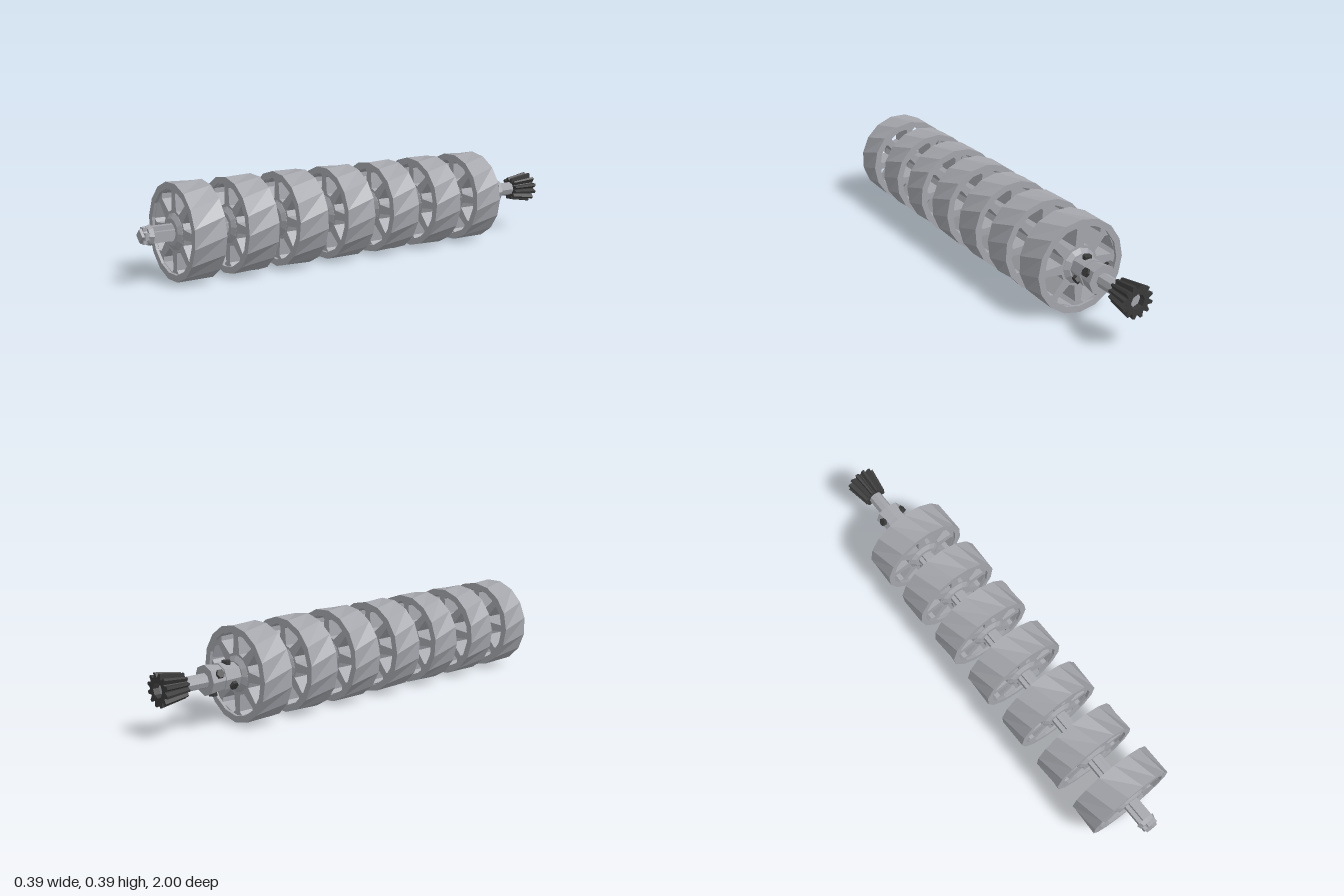
import * as THREE from 'three';

const CY = 0.197; // axle height

export function createModel() {
  const grey = new THREE.MeshStandardMaterial({ color: 0xa3a5ab });
  const black = new THREE.MeshStandardMaterial({ color: 0x3a3a3b });
  grey.name = 'light grey';
  black.name = 'dark grey';
  grey.flatShading = black.flatShading = true;

  const model = new THREE.Group();
  model.name = 'rollerShaft';
  const add = (parent, name, geometry, material, x = 0, y = 0, z = 0) => {
    const mesh = new THREE.Mesh(geometry, material);
    mesh.name = name;
    mesh.position.set(x, y, z);
    parent.add(mesh);
    return mesh;
  };
  // Cylinder along z; r1 is the radius at the +z end
  const rod = (r1, r2, length, sides) =>
    new THREE.CylinderGeometry(r1, r2, length, sides).rotateX(Math.PI / 2);
  // Extrusion centred on z = 0
  const slab = (shape, depth) =>
    new THREE.ExtrudeGeometry(shape, { depth, bevelEnabled: false, curveSegments: 4 })
      .translate(0, 0, -depth / 2);
  const polygon = (pts) => pts.map(([x, y]) => new THREE.Vector2(x, y));

  const axis = new THREE.Group();
  axis.name = 'axis';
  axis.position.y = CY;
  model.add(axis);

  // Faceted rim: the front edge is turned half a step against the back edge
  const SIDES = 16, W = 0.067, RO = 0.194, RI = 0.167;
  const rimProfile = polygon([[RI, -W], [RO, -W], [RO, W], [RI, W], [RI, -W]]);
  const rimGeo = new THREE.LatheGeometry(rimProfile, SIDES);
  const p = rimGeo.attributes.position;
  for (let i = 0; i < p.count; i++) {
    const a = p.getY(i) > 0 ? Math.PI / SIDES : 0;
    const x = p.getX(i), z = p.getZ(i);
    p.setX(i, x * Math.cos(a) - z * Math.sin(a));
    p.setZ(i, x * Math.sin(a) + z * Math.cos(a));
  }
  rimGeo.rotateX(Math.PI / 2);
  rimGeo.computeVertexNormals();

  // Eight-spoked disc with tapered windows
  const disc = new THREE.Shape().absarc(0, 0, 0.174, 0, Math.PI * 2);
  for (let i = 0; i < 8; i++) {
    const mid = (i + 0.5) * Math.PI / 4;
    const corner = (r, half) => [r * Math.cos(mid + half), r * Math.sin(mid + half)];
    disc.holes.push(new THREE.Path(polygon([
      corner(0.083, -0.15), corner(0.15, -0.3), corner(0.166, -0.22),
      corner(0.166, 0.22), corner(0.15, 0.3), corner(0.083, 0.15),
    ])));
  }
  const discGeo = new THREE.ExtrudeGeometry(disc, { depth: 0.11, bevelEnabled: false, curveSegments: 16 })
    .translate(0, 0, -0.055);

  // Hub with an open socket at each end
  const hubGeo = new THREE.LatheGeometry(polygon([
    [0.036, -0.05], [0.036, -0.068], [0.054, -0.068], [0.074, -0.056],
    [0.074, 0.056], [0.054, 0.068], [0.036, 0.068], [0.036, 0.05],
  ]), 12).rotateX(Math.PI / 2);

  for (let i = 0; i < 7; i++) {
    const wheel = new THREE.Group();
    wheel.name = 'wheel' + (i + 1);
    wheel.position.z = 0.8 - i * 0.231;
    axis.add(wheel);
    add(wheel, 'rim', rimGeo, grey).rotation.z = i * 0.13;
    add(wheel, 'spokes', discGeo, grey);
    add(wheel, 'hub', hubGeo, grey);
  }

  // Cross-section axle through all the wheels
  const a = 0.032, b = 0.014;
  const cross = new THREE.Shape(polygon([
    [a, -b], [a, b], [b, b], [b, a], [-b, a], [-b, b],
    [-a, b], [-a, -b], [-b, -b], [-b, -a], [b, -a], [b, -b],
  ]));
  add(axis, 'axle', slab(cross, 1.68), grey, 0, 0, 0.15);
  add(axis, 'axleStop', rod(0.036, 0.042, 0.018, 8), grey, 0, 0, 0.965);
  add(axis, 'axleTip', rod(0.026, 0.034, 0.026, 4), grey, 0, 0, 0.987);

  // Two-part coupling with clamping screws
  add(axis, 'couplingFront', rod(0.05, 0.057, 0.075, 8), grey, 0, 0, -0.69);
  add(axis, 'couplingBack', rod(0.053, 0.062, 0.065, 8), grey, 0, 0, -0.76);
  const screwGeo = new THREE.CylinderGeometry(0.018, 0.018, 0.02, 6);
  [[-0.69, 0.052, [0, 2, 4]], [-0.755, 0.056, [1, 3, 5]]].forEach(([z, r, slots]) => {
    for (const s of slots) {
      const t = s * Math.PI / 3;
      add(axis, 'screw', screwGeo, black, Math.sin(t) * r, Math.cos(t) * r, z).rotation.z = -t;
    }
  });
  add(axis, 'driveShaft', rod(0.03, 0.03, 0.19, 8), grey, 0, 0, -0.88);

  // Toothed pinion, flaring towards the back, with an open bore
  const TEETH = 12;
  const gear = new THREE.Shape();
  for (let i = 0; i < TEETH; i++) {
    [[0, 0.05], [0.3, 0.068], [0.6, 0.068], [0.85, 0.05]].forEach(([f, r]) => {
      const t = (i + f) / TEETH * Math.PI * 2;
      gear[i + f ? 'lineTo' : 'moveTo'](r * Math.cos(t), r * Math.sin(t));
    });
  }
  gear.closePath();
  gear.holes.push(new THREE.Path().absarc(0, 0, 0.031, 0, Math.PI * 2, true));
  const gearGeo = slab(gear, 0.11);
  const g = gearGeo.attributes.position;
  for (let i = 0; i < g.count; i++) {
    const r = Math.hypot(g.getX(i), g.getY(i));
    if (g.getZ(i) > 0 && r > 0.04) {
      g.setX(i, g.getX(i) * 0.74);
      g.setY(i, g.getY(i) * 0.74);
    }
  }
  gearGeo.computeVertexNormals();
  add(axis, 'pinion', gearGeo, black, 0, 0, -0.945);

  return model;
}
